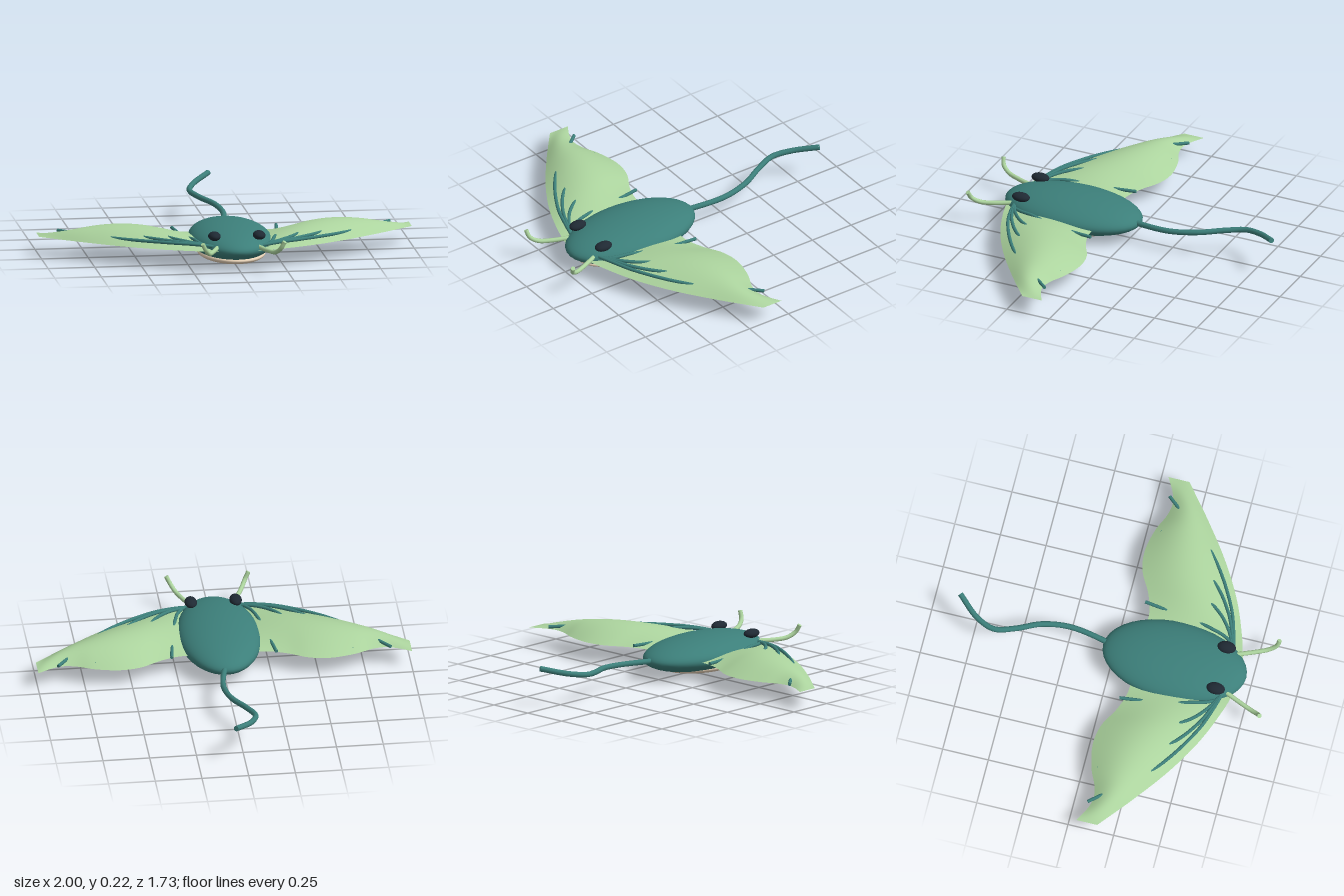
import * as THREE from 'three';

const V = (x, y, z) => new THREE.Vector3(x, y, z);

export function createModel() {
  const model = new THREE.Group();
  model.name = 'ray';

  const mat = (name, color, side = THREE.FrontSide) => {
    const m = new THREE.MeshStandardMaterial({ color, side });
    m.name = name;
    return m;
  };
  const teal = mat('teal skin', 0x3c7f7a);
  const green = mat('pale green', 0xacd49e, THREE.DoubleSide);
  const cream = mat('belly cream', 0xf2dcc0);
  const dark = mat('eye black', 0x1f2933);

  const add = (name, geometry, material, parent = model) => {
    const mesh = new THREE.Mesh(geometry, material);
    mesh.name = name;
    parent.add(mesh);
    return mesh;
  };
  const ellipsoid = (name, pos, radii, material, parent) => {
    const mesh = add(name, new THREE.SphereGeometry(1, 40, 28), material, parent);
    mesh.scale.set(...radii);
    mesh.position.set(...pos);
    return mesh;
  };
  // Round tube along a smooth curve, closed with flat end caps
  const tube = (name, pts, r, material, parent = model, segs = 40) => {
    const group = new THREE.Group();
    group.name = name;
    parent.add(group);
    const curve = new THREE.CatmullRomCurve3(pts);
    add(name + 'Tube', new THREE.TubeGeometry(curve, segs, r, 10), material, group);
    for (const t of [0, 1]) {
      const cap = add(name + 'Cap', new THREE.CircleGeometry(r, 10), material, group);
      const p = curve.getPoint(t);
      cap.position.copy(p);
      cap.lookAt(p.add(curve.getTangent(t).multiplyScalar(t ? 1 : -1)));
    }
  };

  // Body, belly and tail
  ellipsoid('body', [0, 0.105, 0.332], [0.22, 0.09, 0.392], teal);
  ellipsoid('belly', [0, 0.046, 0.367], [0.182, 0.042, 0.3], cream);
  tube('tail', [
    V(0, 0.108, 0), V(0.02, 0.112, -0.07), V(0.044, 0.124, -0.25), V(0.018, 0.138, -0.4),
    V(-0.045, 0.15, -0.53), V(-0.08, 0.163, -0.64), V(-0.045, 0.18, -0.74), V(0.05, 0.212, -0.855),
  ], 0.015, teal, model, 80);

  // Outline of a wing as [x, z] points from root to tip
  const outline = (pts) => new THREE.CatmullRomCurve3(pts.map(([x, z]) => V(x, 0, z)));
  const zAt = (curve, x) => {
    let lo = 0, hi = 1;
    for (let i = 0; i < 30; i++) {
      const mid = (lo + hi) / 2;
      if (curve.getPoint(mid).x < x) lo = mid; else hi = mid;
    }
    return curve.getPoint(lo).z;
  };
  const leading = outline([[0.1, 0.68], [0.2, 0.652], [0.4, 0.575], [0.6, 0.463], [0.8, 0.32], [1, 0.16]]);
  const trailing = outline([[0.1, 0.135], [0.24, 0.133], [0.34, 0.1], [0.45, 0.042], [0.56, 0.025],
    [0.7, 0.053], [0.79, 0.092], [0.86, 0.104], [0.92, 0.088], [1, 0.045]]);

  // Point on the arched wing: u runs from root to tip, v from front to back
  const wingPoint = (s, u, v) => {
    const x = 0.1 + 0.9 * u;
    const z = THREE.MathUtils.lerp(zAt(leading, x), zAt(trailing, x), v);
    return V(s * x, 0.105 + 0.074 * Math.sin(Math.PI * u) * Math.sin(Math.PI * v), z);
  };
  const wingGeometry = (s) => {
    const geo = new THREE.PlaneGeometry(1, 1, 48, 20);
    const pos = geo.attributes.position;
    for (let i = 0; i < pos.count; i++) {
      const p = wingPoint(s, 0.5 + s * pos.getX(i), 0.5 + pos.getY(i));
      pos.setXYZ(i, p.x, p.y, p.z);
    }
    geo.computeVertexNormals();
    return geo;
  };

  // Wing ribs, fanning out from beside the head
  const ribs = [
    [[0.12, 0.122, 0.625], [0.22, 0.132, 0.6], [0.36, 0.136, 0.55], [0.62, 0.133, 0.385], [0.89, 0.121, 0.08]],
    [[0.13, 0.122, 0.62], [0.22, 0.134, 0.59], [0.33, 0.141, 0.54], [0.47, 0.143, 0.43], [0.69, 0.117, 0.085]],
    [[0.14, 0.122, 0.615], [0.22, 0.135, 0.575], [0.3, 0.142, 0.51], [0.36, 0.142, 0.42], [0.46, 0.11, 0.09]],
    [[0.16, 0.122, 0.615], [0.195, 0.13, 0.55], [0.215, 0.135, 0.48], [0.238, 0.127, 0.39], [0.26, 0.119, 0.25],
      [0.28, 0.122, 0.1]],
  ];

  for (const s of [1, -1]) {
    const side = s > 0 ? 'left' : 'right';
    const wing = new THREE.Group();
    wing.name = side + 'WingGroup';
    model.add(wing);
    add(side + 'Wing', wingGeometry(s), green, wing);
    ribs.forEach((pts, i) =>
      tube(side + 'Rib' + (i + 1), pts.map(([x, y, z]) => V(s * x, y, z)), 0.009, teal, wing));

    // Row of beads along the underside of the wing
    for (let i = 0; i < 7; i++) {
      const t = i / 6;
      const p = wingPoint(s, 0.145 + 0.455 * t, 0.21 + 0.206 * t);
      ellipsoid(side + 'Bead', [p.x, p.y - 0.011, p.z], [0.015, 0.009, 0.015], green, wing);
    }

    // Eye and curled head fin
    ellipsoid(side + 'Eye', [s * 0.12, 0.172, 0.587], [0.033, 0.024, 0.05], dark);
    tube(side + 'HeadFin', [
      V(s * 0.11, 0.12, 0.64), V(s * 0.148, 0.116, 0.73), V(s * 0.178, 0.122, 0.8),
      V(s * 0.2, 0.148, 0.84), V(s * 0.22, 0.187, 0.852),
    ], 0.012, green);
  }
  return model;
}
